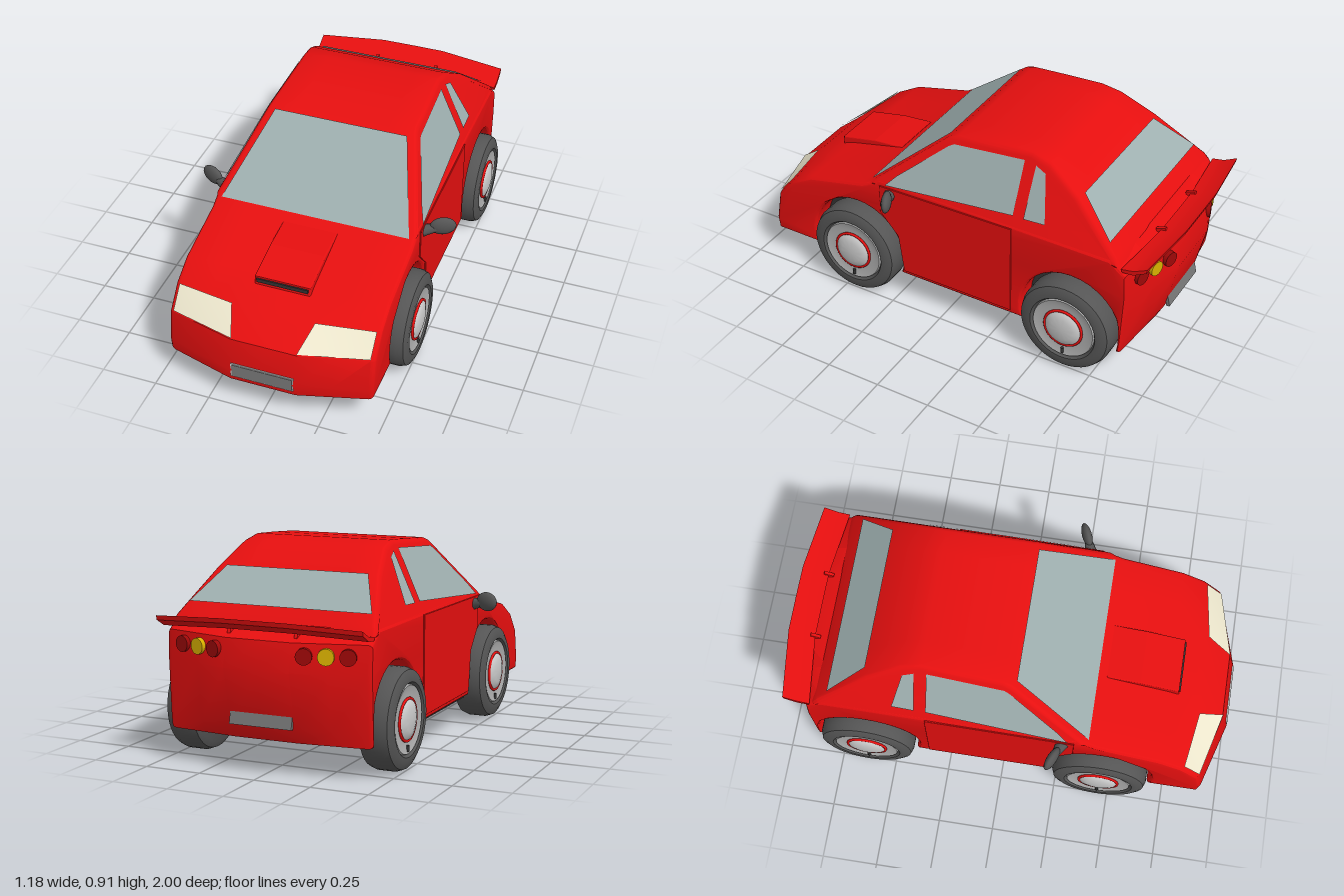
import * as THREE from 'three';
import { toCreasedNormals } from 'three/addons/utils/BufferGeometryUtils.js';

const mat = (color, side = THREE.FrontSide) => new THREE.MeshStandardMaterial({ color, side });
const RED = mat(0xe60f0f), DARK = mat(0x333333), TIRE = mat(0x555555), RIM = mat(0xb0b0b0);
const GLASS = mat(0x9fb0b0, THREE.DoubleSide), LAMP = mat(0xf0ead0, THREE.DoubleSide);
const TAIL = mat(0x9c0808), AMBER = mat(0xd8b000), PLATE = mat(0x777777);

const clamp = (v) => Math.min(1, Math.max(0, v));

// nose and tail sweep back towards the corners
function taper(x, z) {
  const t = clamp((Math.abs(x) - 0.147) / 0.313);
  if (z > 0.7) return z - 0.09 * t * (z - 0.7) / 0.3;
  if (z < -0.85) return z + 0.1 * t * (-z - 0.85) / 0.125;
  return z;
}
// cabin leans inwards above the belt line
const lean = (y) => (y > 0.6 ? 1 - (y - 0.6) * 0.97 : 1);

function warp(geo, rule) {
  const p = geo.attributes.position, v = new THREE.Vector3();
  for (let i = 0; i < p.count; i++) {
    rule(v.fromBufferAttribute(p, i));
    p.setXYZ(i, v.x, v.y, v.z);
  }
  geo.computeVertexNormals();
  return geo;
}

const sideShape = (pts) => new THREE.Shape(pts.map(([z, y]) => new THREE.Vector2(-z, y)));

// side profile [z, y] swept across the car's width
function sweep(pts, half, bevel, steps = 6) {
  return new THREE.ExtrudeGeometry(sideShape(pts), {
    depth: 2 * (half - bevel), steps, bevelEnabled: bevel > 0, bevelSize: bevel,
    bevelThickness: bevel, bevelOffset: -bevel, bevelSegments: 3,
  }).translate(0, 0, bevel - half).rotateY(Math.PI / 2);
}

function archPoints(cz) {
  const pts = [], r = 0.235, dip = 0.347, n = 20;
  for (let i = 0; i <= n; i++) {
    const a = Math.PI + dip - (i / n) * (Math.PI + 2 * dip);
    pts.push([cz + r * Math.cos(a), 0.22 + r * Math.sin(a)]);
  }
  return pts;
}

// panel between two rows [z, y, xInner, xOuter], lifted a little off the body
function panel(a, b, lift) {
  return warp(new THREE.PlaneGeometry(1, 1, 8, 2), (v) => {
    const u = v.x + 0.5, w = v.y + 0.5;
    const [z, y, xi, xo] = a.map((n, i) => n + (b[i] - n) * w);
    const x = xi + (xo - xi) * u;
    v.set(x, y + 0.005, taper(x, z) + lift);
  });
}

function sidePanel(pts, s) {
  const geo = new THREE.ShapeGeometry(sideShape(pts)).rotateY(Math.PI / 2);
  return warp(geo, (v) => { v.x = s * (0.46 * lean(v.y) + 0.004); });
}

function makeWheel() {
  const g = new THREE.Group();
  const lathe = (name, pts, m) => {
    const geo = new THREE.LatheGeometry(pts.map(([r, x]) => new THREE.Vector2(r, x)), 40);
    const mesh = new THREE.Mesh(toCreasedNormals(geo.rotateZ(-Math.PI / 2), 0.7), m);
    mesh.name = name;
    g.add(mesh);
  };
  lathe('tire', [[0, -0.075], [0.18, -0.075], [0.205, -0.062], [0.215, -0.035], [0.215, 0.035],
    [0.205, 0.062], [0.18, 0.075], [0.155, 0.075], [0.145, 0.06]], TIRE);
  lathe('rim', [[0.147, 0.055], [0.142, 0.07], [0.115, 0.062], [0.09, 0.062]], RIM);
  lathe('hubcap', [[0.09, 0.06], [0.08, 0.074], [0.05, 0.083], [0, 0.086]], mat(0xcccccc));
  const ring = new THREE.Mesh(new THREE.TorusGeometry(0.088, 0.006, 8, 40).rotateY(Math.PI / 2), RED);
  ring.name = 'hubRing';
  ring.position.x = 0.067;
  const valve = new THREE.Mesh(new THREE.CylinderGeometry(0.007, 0.007, 0.025, 8), DARK);
  valve.name = 'valve';
  valve.position.set(0.068, -0.12, 0);
  g.add(ring, valve);
  return g;
}

export function createModel() {
  const car = new THREE.Group();
  const add = (name, geo, m, pos = [0, 0, 0], rot = [0, 0, 0], parent = car) => {
    const mesh = new THREE.Mesh(geo, m);
    mesh.name = name;
    mesh.position.set(...pos);
    mesh.rotation.set(...rot);
    parent.add(mesh);
    return mesh;
  };
  const box = (x, y, z) => new THREE.BoxGeometry(x, y, z);

  // lower body with wheel arches
  const lower = [[0.99, 0.14], [1.0, 0.2], [0.965, 0.34], [0.85, 0.435], [0.7, 0.495], [0.42, 0.56],
    [0.33, 0.615], [-0.8, 0.62], [-0.95, 0.56], [-0.975, 0.44], [-0.92, 0.2], [-0.89, 0.14],
    ...archPoints(-0.62), ...archPoints(0.45)];
  const shell = (v) => { v.z = taper(v.x, v.z); v.x *= lean(v.y); };
  add('lowerBody', toCreasedNormals(warp(sweep(lower, 0.46, 0.02), shell), 0.5), RED);

  // cabin
  const cabin = [[0.38, 0.58], [0.03, 0.87], [-0.01, 0.885], [-0.2, 0.9], [-0.36, 0.91], [-0.45, 0.89],
    [-0.6, 0.8], [-0.82, 0.62], [-0.845, 0.58]];
  add('cabin', toCreasedNormals(warp(sweep(cabin, 0.46, 0.02), shell), 0.5), RED);

  // underside and wheel wells
  add('floor', box(0.72, 0.27, 1.59), DARK, [0, 0.267, -0.045]);
  add('middleFloor', box(0.88, 0.015, 0.6), DARK, [0, 0.139, -0.085]);
  add('noseFloor', box(0.84, 0.015, 0.2), DARK, [0, 0.139, 0.79]);

  // front and rear glass
  add('windshield', panel([0.377, 0.582, -0.43, 0.43], [0.042, 0.86, -0.305, 0.305], 0.004), GLASS);
  add('rearWindow', panel([-0.77, 0.661, -0.415, 0.415], [-0.605, 0.796, -0.325, 0.325], -0.004), GLASS);

  // bonnet scoop
  add('scoop', sweep([[0.75, 0.46], [0.745, 0.515], [0.57, 0.55], [0.42, 0.562], [0.42, 0.5]], 0.125, 0.006, 1), RED);
  add('scoopGrille', box(0.23, 0.018, 0.01), DARK, [0, 0.498, 0.747]);

  // number plates, left blank
  add('frontPlateFrame', box(0.28, 0.066, 0.01), mat(0xcccccc), [0, 0.2, 0.994], [-0.05, 0, 0]);
  add('frontPlate', box(0.27, 0.056, 0.012), PLATE, [0, 0.2, 0.995], [-0.05, 0, 0]);
  add('rearPlate', box(0.28, 0.065, 0.015), PLATE, [0, 0.235, -0.93], [0.225, 0, 0]);

  // rear spoiler, drooping at its ends
  const wing = [[-0.885, 0.605], [-0.94, 0.615], [-1.0, 0.645], [-0.995, 0.625], [-0.94, 0.595], [-0.89, 0.59]];
  add('spoiler', toCreasedNormals(warp(sweep(wing, 0.46, 0), (v) => {
    const t = clamp((Math.abs(v.x) - 0.147) / 0.313);
    v.z += 0.035 * t;
    v.y -= 0.015 * t;
  }), 0.5), RED);

  for (const s of [1, -1]) {
    const side = s > 0 ? 'left' : 'right';

    // side glass and door
    add(side + 'DoorWindow', sidePanel([[0.29, 0.602], [0.24, 0.655], [0.025, 0.835], [0, 0.85],
      [-0.335, 0.877], [-0.335, 0.655]], s), GLASS);
    add(side + 'QuarterWindow', sidePanel([[-0.385, 0.655], [-0.39, 0.87], [-0.44, 0.85], [-0.485, 0.66]], s), GLASS);
    const door = sweep([[0.32, 0.59], [0.32, 0.45], [0.23, 0.35], [0.205, 0.165], [-0.34, 0.165], [-0.34, 0.6]],
      0.004, 0.002, 1);
    add(side + 'Door', door, RED, [s * 0.461, 0, 0]);

    // lamps
    add(side + 'Headlight', panel([0.962, 0.342, s * 0.145, s * 0.44], [0.855, 0.431, s * 0.185, s * 0.44], 0.004), LAMP);
    [0.2, 0.285, 0.37].forEach((x, i) => {
      const lamp = new THREE.CylinderGeometry(0.034, 0.034, 0.03, 20).rotateX(Math.PI / 2);
      add(side + 'TailLight' + (i + 1), lamp, i === 1 ? AMBER : TAIL, [s * x, 0.51, taper(x, -0.962)], [0, -s * 0.3, 0]);
    });

    // spoiler strut
    add(side + 'SpoilerStrut', box(0.014, 0.05, 0.045), RED, [s * 0.15, 0.588, -0.89], [0.35, 0, 0]);

    // door mirror
    const mirror = new THREE.Group();
    mirror.name = side + 'Mirror';
    mirror.position.set(s * 0.455, 0.56, 0.27);
    mirror.rotation.y = s * 0.41;
    add('mirrorStalk', new THREE.CylinderGeometry(0.018, 0.028, 0.06, 8), TIRE, [s * 0.03, 0.003, 0],
      [0, 0, -s * 1.4], mirror);
    add('mirrorHousing', new THREE.SphereGeometry(1, 16, 10), TIRE, [s * 0.088, 0.017, 0], [0, 0, 0], mirror)
      .scale.set(0.058, 0.043, 0.022);
    car.add(mirror);

    // wheels
    for (const [end, z] of [['front', 0.45], ['rear', -0.62]]) {
      const wheel = makeWheel();
      wheel.name = end + side[0].toUpperCase() + side.slice(1) + 'Wheel';
      wheel.position.set(s * 0.44, 0.215, z);
      wheel.rotation.y = s > 0 ? 0 : Math.PI;
      car.add(wheel);
    }
  }
  return car;
}
